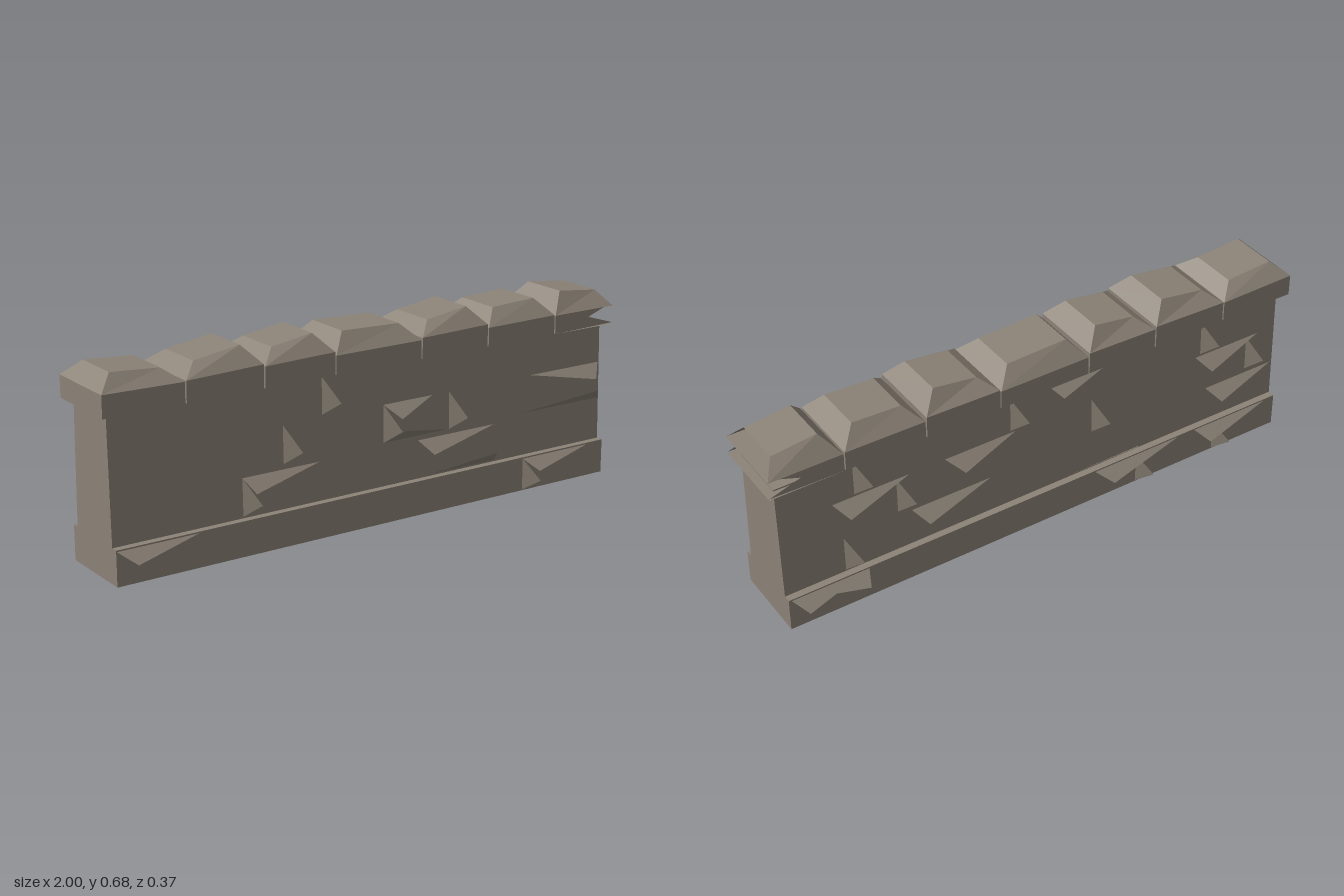
import * as THREE from 'three';

const stone = new THREE.MeshStandardMaterial({ color: 0x8c8377, side: THREE.DoubleSide, flatShading: true });
stone.name = 'weathered stone';

// Unshared triangles keep every facet flat
function mesh(name, points) {
  const g = new THREE.BufferGeometry();
  g.setAttribute('position', new THREE.Float32BufferAttribute(points.flat(), 3));
  g.computeVertexNormals();
  const m = new THREE.Mesh(g, stone);
  m.name = name;
  return m;
}

// Rectangular ring, counter-clockwise from above; yl and yr are left and right heights
const ring = (x0, x1, z, yl, yr = yl) => [[x0, yl, z], [x1, yr, z], [x1, yr, -z], [x0, yl, -z]];

// Skin stacked rings, closing top and bottom; sides can be left open
function loft(name, rings, openSide = () => false) {
  const p = [];
  const quad = (a, b, c, d) => p.push(a, b, c, a, c, d);
  for (let r = 0; r < rings.length - 1; r++) {
    for (let i = 0; i < 4; i++) {
      if (openSide(r, i)) continue;
      const j = (i + 1) % 4;
      quad(rings[r][i], rings[r][j], rings[r + 1][j], rings[r + 1][i]);
    }
  }
  quad(...rings[rings.length - 1]);
  quad(...[...rings[0]].reverse());
  return mesh(name, p);
}

// Stone courses: bottom, top
const courses = [[0.003, 0.115], [0.125, 0.253], [0.27, 0.4], [0.408, 0.535]];
const wallZ = (y) => (y < 0.12 ? 0.14 : 0.115 - (y - 0.12) * 0.024);
const onWall = (x, y) => [x, y, wallZ(y)];
const raised = (x, y) => [x, y, wallZ(y) + 0.046];

// Upright chipped facet at a stone's end; dir is the way it faces
function endChip(c, x, dir) {
  const [b, t] = courses[c];
  const y = b + (t - b) * (dir > 0 ? 0.65 : 0.32);
  return mesh('endChip', [onWall(x, b), onWall(x, t), raised(x - dir * 0.045, y)]);
}

// Long chipped facet along the top or bottom of a stone
function longChip(c, x0, x1, tip, top) {
  const [b, t] = courses[c];
  const y = b + (t - b) * (top ? 0.65 : 0.32);
  const e = top ? t : b;
  return mesh('longChip', [onWall(x0, e), onWall(x1, e), raised(tip, y)]);
}

function chippedFace(name, ends, longs) {
  const g = new THREE.Group();
  g.name = name;
  ends.forEach((a) => g.add(endChip(...a)));
  longs.forEach((a) => g.add(longChip(...a)));
  return g;
}

export function createModel() {
  const wall = new THREE.Group();
  wall.name = 'stoneWall';

  // Plinth and tapered core
  wall.add(loft('plinth', [ring(-0.972, 0.97, 0.14, 0), ring(-0.972, 0.97, 0.14, 0.12)]));
  wall.add(loft('core', [ring(-0.972, 0.97, 0.115, 0.12), ring(-0.972, 0.97, 0.105, 0.545)]));

  // Cap stones: left, right, shoulder heights, top heights
  const caps = [
    [-1, -0.717, 0.615, 0.61, 0.665, 0.652],
    [-0.712, -0.435, 0.612, 0.62, 0.655, 0.68],
    [-0.43, -0.168, 0.612, 0.618, 0.655, 0.678],
    [-0.163, 0.172, 0.605, 0.605, 0.668, 0.66],
    [0.177, 0.447, 0.612, 0.618, 0.655, 0.678],
    [0.452, 0.737, 0.605, 0.608, 0.658, 0.666],
  ];
  caps.forEach(([a, b, sl, sr, tl, tr]) => wall.add(loft('capStone', [
    ring(a, b, 0.137, 0.54), ring(a, b, 0.137, sl, sr), ring(a + 0.055, b - 0.055, 0.085, tl, tr),
  ])));

  // Broken cap stone at the end, hollow and open on one side
  const shell = loft('brokenCapTop', [
    ring(0.742, 1, 0.137, 0.605), ring(0.8, 0.96, 0.085, 0.675, 0.657),
  ], (r, i) => i === 1);
  shell.geometry.setDrawRange(0, shell.geometry.attributes.position.count - 6);
  wall.add(shell);
  const skirt = [];
  for (const z of [0.137, -0.137]) {
    const [a, b, c, d] = [[0.742, 0.54, z], [1, 0.545, z], [0.89, 0.58, z], [0.742, 0.605, z]];
    const tri = [a, b, c, a, c, d, d, c, [0.96, 0.605, z]];
    skirt.push(...(z > 0 ? tri : tri.reverse()));
  }
  const [p, q, r, s] = ring(0.742, 1, 0.137, 0.54);
  skirt.push(p, r, q, p, s, r);
  const [t, , , u] = ring(0.742, 1, 0.137, 0.605);
  skirt.push(s, p, t, s, t, u);
  wall.add(mesh('brokenCapSkirt', skirt));

  // Front chips
  wall.add(chippedFace('frontChips', [
    [0, -0.235, 1], [0, 0.147, 1], [0, 0.6, 1], [0, 0.61, -1],
    [1, -0.52, 1], [1, -0.505, -1], [1, -0.212, 1], [1, 0.165, 1], [1, 0.503, 1],
    [2, -0.67, 1], [2, -0.36, 1], [2, -0.35, -1], [2, 0.028, 1], [2, 0.04, -1], [2, 0.31, -1], [2, 0.965, 1],
    [3, -0.51, 1], [3, -0.2, -1], [3, 0.515, 1], [3, 0.797, 1],
  ], [
    [0, -0.97, -0.68, -0.92, true], [0, 0.61, 0.9, 0.65, true],
    [1, -0.505, -0.212, -0.48, true], [1, 0.18, 0.503, 0.215, true], [1, 0.23, 0.503, 0.48, false],
    [2, 0.04, 0.24, 0.085, true], [2, 0.05, 0.3, 0.1, false],
    [2, 0.66, 0.965, 0.92, true], [2, 0.62, 0.965, 0.93, false],
  ]));

  // Back chips, laid out as seen from behind
  const back = chippedFace('backChips', [
    [0, 0.2, 1], [0, 0.6, 1], [0, 0.37, -1], [0, 0.7, -1],
    [1, 0.12, 1], [1, 0.5, 1], [1, -0.75, -1], [1, 0.965, 1],
    [2, -0.78, 1], [2, 0.02, 1], [2, 0.63, 1], [2, -0.55, -1], [2, 0.2, -1], [2, 0.85, -1],
    [3, -0.62, 1], [3, 0.02, 1], [3, 0.37, 1], [3, -0.7, -1], [3, -0.12, -1], [3, 0.65, -1],
  ], [
    [0, -0.68, -0.96, -0.92, true], [0, -0.68, -0.96, -0.7, true], [0, 0.2, 0.55, 0.25, true], [0, 0.62, 0.93, 0.66, true],
    [1, -0.5, -0.2, -0.46, true], [1, 0.68, 0.965, 0.72, true], [1, 0.1, 0.4, 0.36, false],
    [2, -0.78, -0.5, -0.74, true], [2, -0.37, -0.1, -0.32, true], [2, 0.63, 0.9, 0.67, true],
    [3, 0.02, 0.3, 0.06, true],
  ]);
  back.rotation.y = Math.PI;
  wall.add(back);
  return wall;
}
